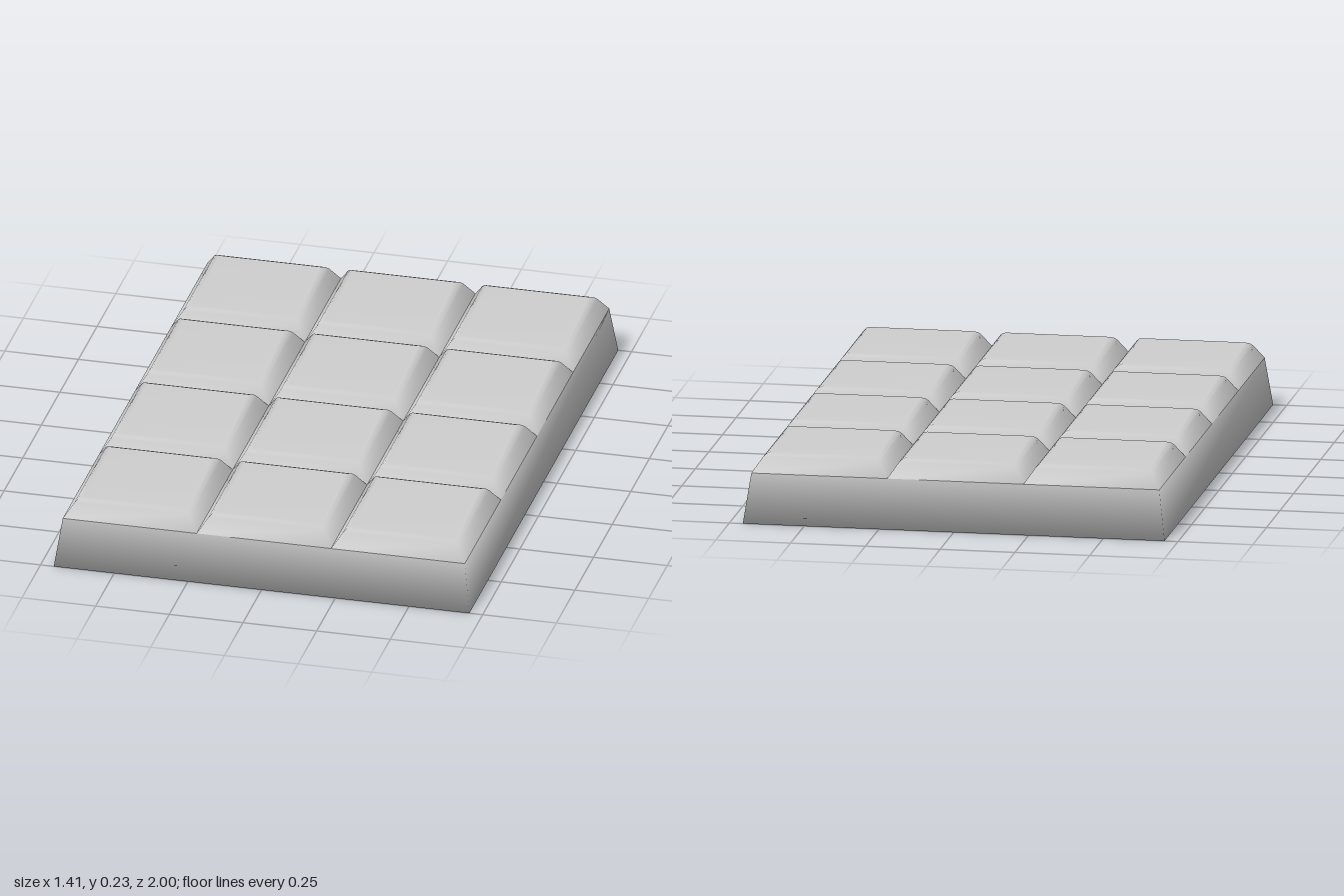
import * as THREE from 'three';

// Smooth-shaded loft through rectangles [x0, x1, z0, z1, y], listed from bottom to top.
function loftRects(rects, capBottom, capTop) {
  const pos = [], idx = [];
  for (const [x0, x1, z0, z1, y] of rects) {
    pos.push(x0, y, z1, x1, y, z1, x1, y, z0, x0, y, z0);
  }
  for (let r = 0; r < rects.length - 1; r++) {
    for (let i = 0; i < 4; i++) {
      const a = r * 4 + i, b = r * 4 + (i + 1) % 4;
      idx.push(a, b, b + 4, a, b + 4, a + 4);
    }
  }
  const t = (rects.length - 1) * 4;
  if (capBottom) idx.push(0, 2, 1, 0, 3, 2);
  if (capTop) idx.push(t, t + 1, t + 2, t, t + 2, t + 3);
  const geo = new THREE.BufferGeometry();
  geo.setAttribute('position', new THREE.Float32BufferAttribute(pos, 3));
  geo.setIndex(idx);
  geo.computeVertexNormals();
  return geo;
}

export function createModel() {
  const group = new THREE.Group();
  group.name = 'segmentedBar';
  const grey = new THREE.MeshStandardMaterial({ color: 0xcccccc });
  grey.name = 'light grey';

  const grooveY = 0.165;
  const xs = [-0.682, -0.228, 0.228, 0.682];
  const zs = [-0.97, -0.485, 0, 0.485, 0.97];

  // Tapered slab up to the bottom of the grooves
  const base = new THREE.Mesh(loftRects([
    [-0.705, 0.705, -1, 1, 0],
    [xs[0], xs[3], zs[0], zs[4], grooveY],
  ], true, false), grey);
  base.name = 'base';
  group.add(base);

  // Bevelled squares, three across and four deep; their bevels form the V grooves
  const bevel = [[0, grooveY], [0.032, 0.212], [0.041, 0.221], [0.056, 0.227]];
  for (let i = 0; i < 3; i++) {
    for (let j = 0; j < 4; j++) {
      const rects = bevel.map(([d, y]) => [xs[i] + d, xs[i + 1] - d, zs[j] + d, zs[j + 1] - d, y]);
      const square = new THREE.Mesh(loftRects(rects, false, true), grey);
      square.name = `square_${i + 1}_${j + 1}`;
      group.add(square);
    }
  }
  return group;
}
